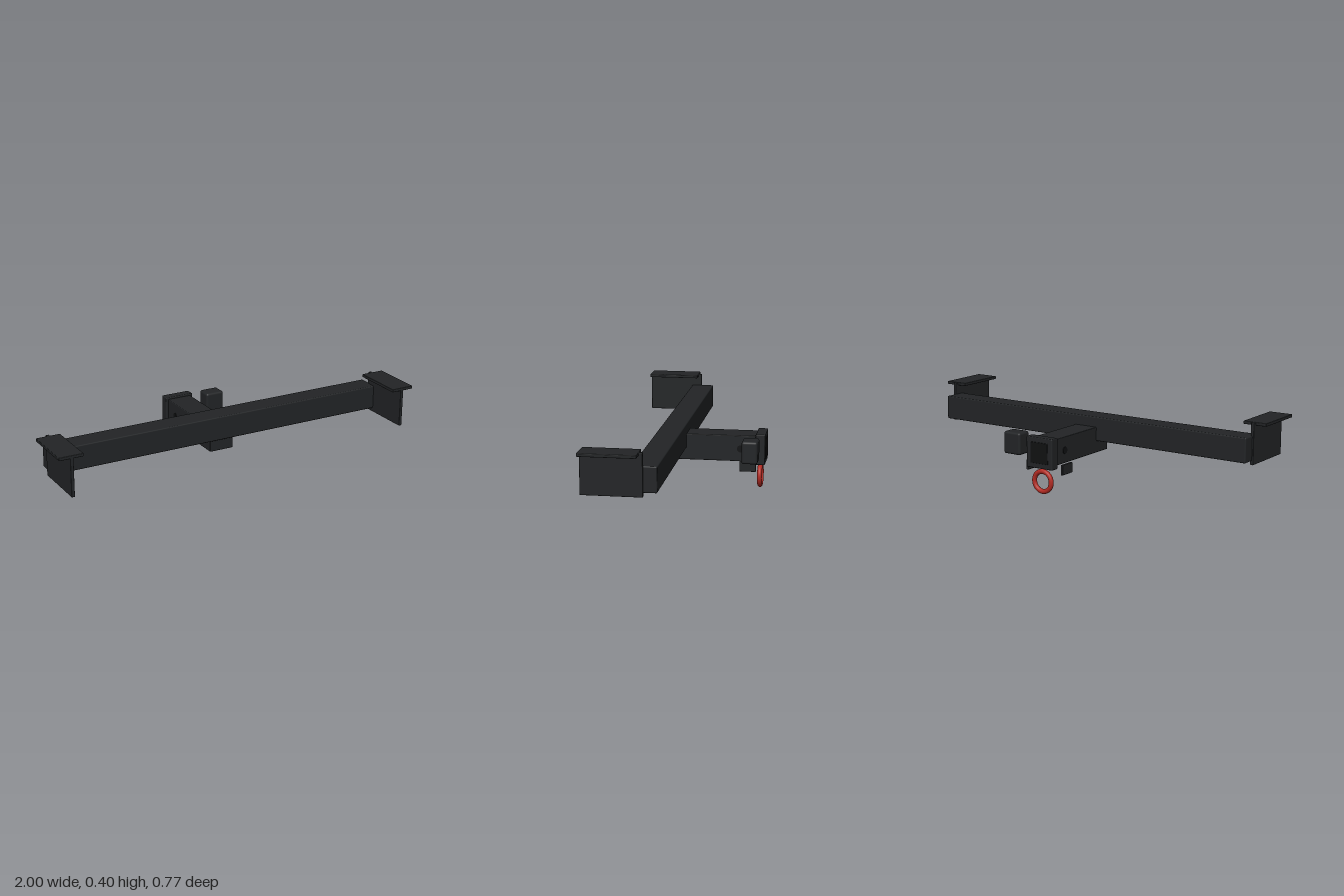
import * as THREE from 'three';
import { RoundedBoxGeometry } from 'three/addons/geometries/RoundedBoxGeometry.js';

const steel = new THREE.MeshStandardMaterial({ color: 0x222426 });
const dark = new THREE.MeshStandardMaterial({ color: 0x101112 });
const red = new THREE.MeshStandardMaterial({ color: 0xb02a22 });

export function createModel() {
  const model = new THREE.Group();

  const add = (name, geometry, material, x = 0, y = 0, z = 0) => {
    const mesh = new THREE.Mesh(geometry, material);
    mesh.name = name;
    mesh.position.set(x, y, z);
    model.add(mesh);
    return mesh;
  };

  // Softly rounded block given by its [min, max] range on each axis
  const block = (name, [x0, x1], [y0, y1], [z0, z1], radius, material = steel) =>
    add(name, new RoundedBoxGeometry(x1 - x0, y1 - y0, z1 - z0, 3, radius), material,
      (x0 + x1) / 2, (y0 + y1) / 2, (z0 + z1) / 2);

  // Main cross beam
  block('crossBeam', [-0.935, 0.935], [0.21, 0.336], [0.025, 0.145], 0.006);

  // Receiver tube, reinforcing collar and dark socket opening
  block('receiverTube', [-0.066, 0.066], [0.148, 0.283], [-0.34, 0.129], 0.004);
  block('receiverCollar', [-0.079, 0.079], [0.135, 0.293], [-0.38, -0.331], 0.005);
  block('receiverOpening', [-0.053, 0.053], [0.161, 0.268], [-0.383, -0.37], 0.002, dark);

  // Hitch pin through the receiver
  add('hitchPin', new THREE.CylinderGeometry(0.018, 0.018, 0.138, 24), dark, 0, 0.214, -0.253)
    .rotation.z = Math.PI / 2;

  for (const side of [-1, 1]) {
    const span = (a, b) => (side > 0 ? [a, b] : [-b, -a]);
    const label = side > 0 ? 'left' : 'right';
    // Frame mounting bracket: upright plate with a flange on top
    block(label + 'BracketPlate', span(0.926, 0.943), [0.19, 0.4], [0.09, 0.384], 0.003);
    block(label + 'BracketFlange', span(0.875, 1), [0.385, 0.401], [0.108, 0.384], 0.003);
    // Safety chain tab
    block(label + 'ChainTab', span(0.1, 0.113), [0.107, 0.16], [-0.337, -0.253], 0.003);
  }

  // Electrical socket beside the receiver
  block('electricalSocket', [0.138, 0.241], [0.178, 0.293], [-0.358, -0.277], 0.012);

  // Red tow ring below the receiver
  add('towRing', new THREE.TorusGeometry(0.0515, 0.0125, 16, 48), red, 0, 0.064, -0.35);

  return model;
}
